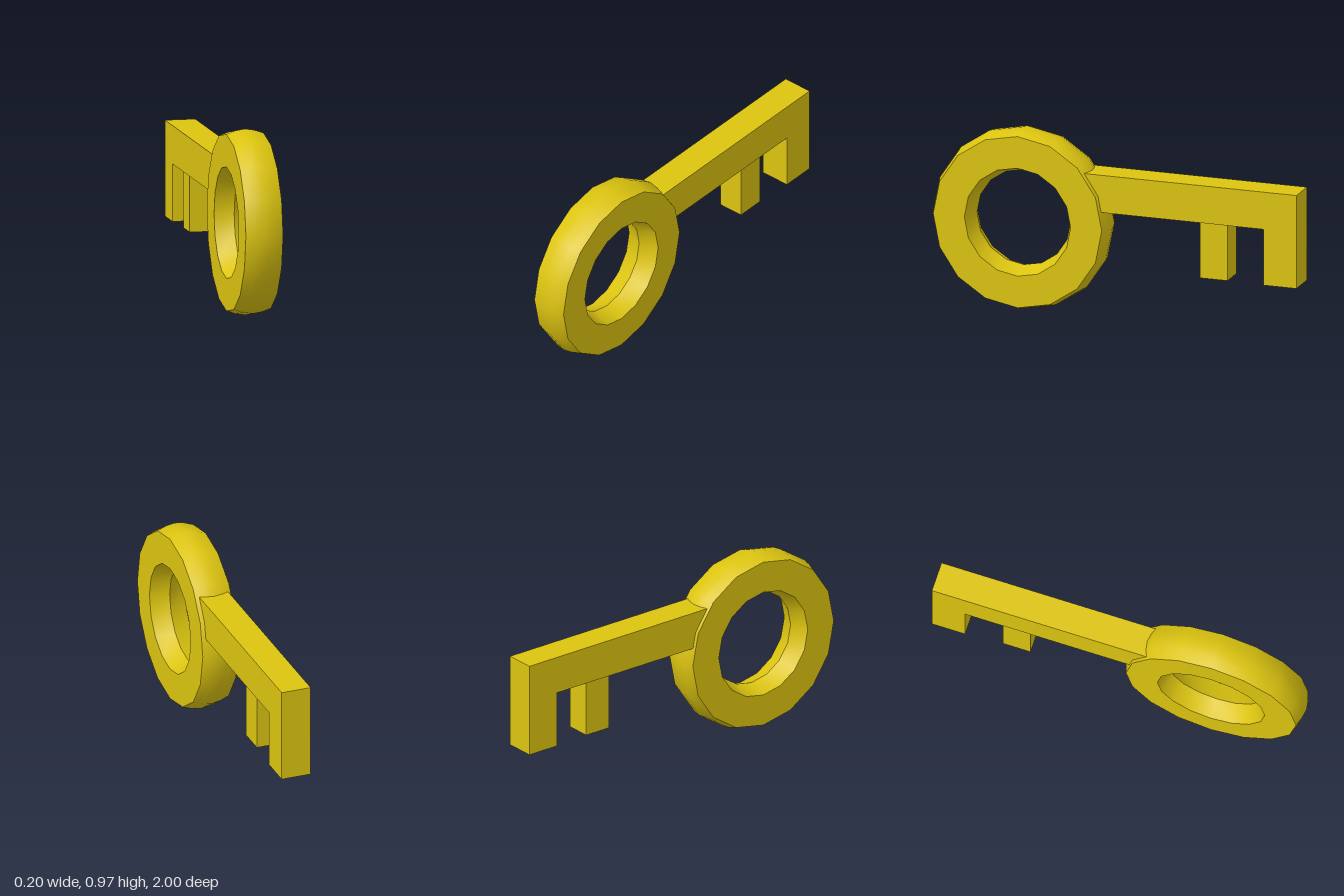
import * as THREE from 'three';
import { toCreasedNormals } from 'three/addons/utils/BufferGeometryUtils.js';

export function createModel() {
  const key = new THREE.Group();
  key.name = 'key';
  const gold = new THREE.MeshStandardMaterial({ color: 0xdcc410 });
  gold.name = 'gold';

  const add = (name, geometry, x, y, z) => {
    const mesh = new THREE.Mesh(geometry, gold);
    mesh.name = name;
    mesh.position.set(x, y, z);
    key.add(mesh);
  };

  // Ring handle: closed section (radius, width) with bulging rims and flat sides
  const section = [
    [0.46, -0.098], [0.477, -0.05], [0.485, 0], [0.477, 0.05], [0.46, 0.098],
    [0.29, 0.098], [0.255, 0], [0.29, -0.098], [0.46, -0.098],
  ].map(([r, w]) => new THREE.Vector2(r, w));
  const ring = new THREE.LatheGeometry(section, 16);
  ring.rotateZ(-Math.PI / 2);
  add('ringHandle', toCreasedNormals(ring, 0.6), -0.002, 0.488, 0.515);

  // Straight bars: width in x, then y and z ranges
  const bar = (name, width, y0, y1, z0, z1) => add(
    name, new THREE.BoxGeometry(width, y1 - y0, z1 - z0), -0.005, (y0 + y1) / 2, (z0 + z1) / 2);
  bar('shaft', 0.16, 0.58, 0.78, -1, 0.19);
  bar('endTooth', 0.16, 0.28, 0.58, -1, -0.82);
  bar('innerTooth', 0.136, 0.28, 0.58, -0.62, -0.47);

  return key;
}
